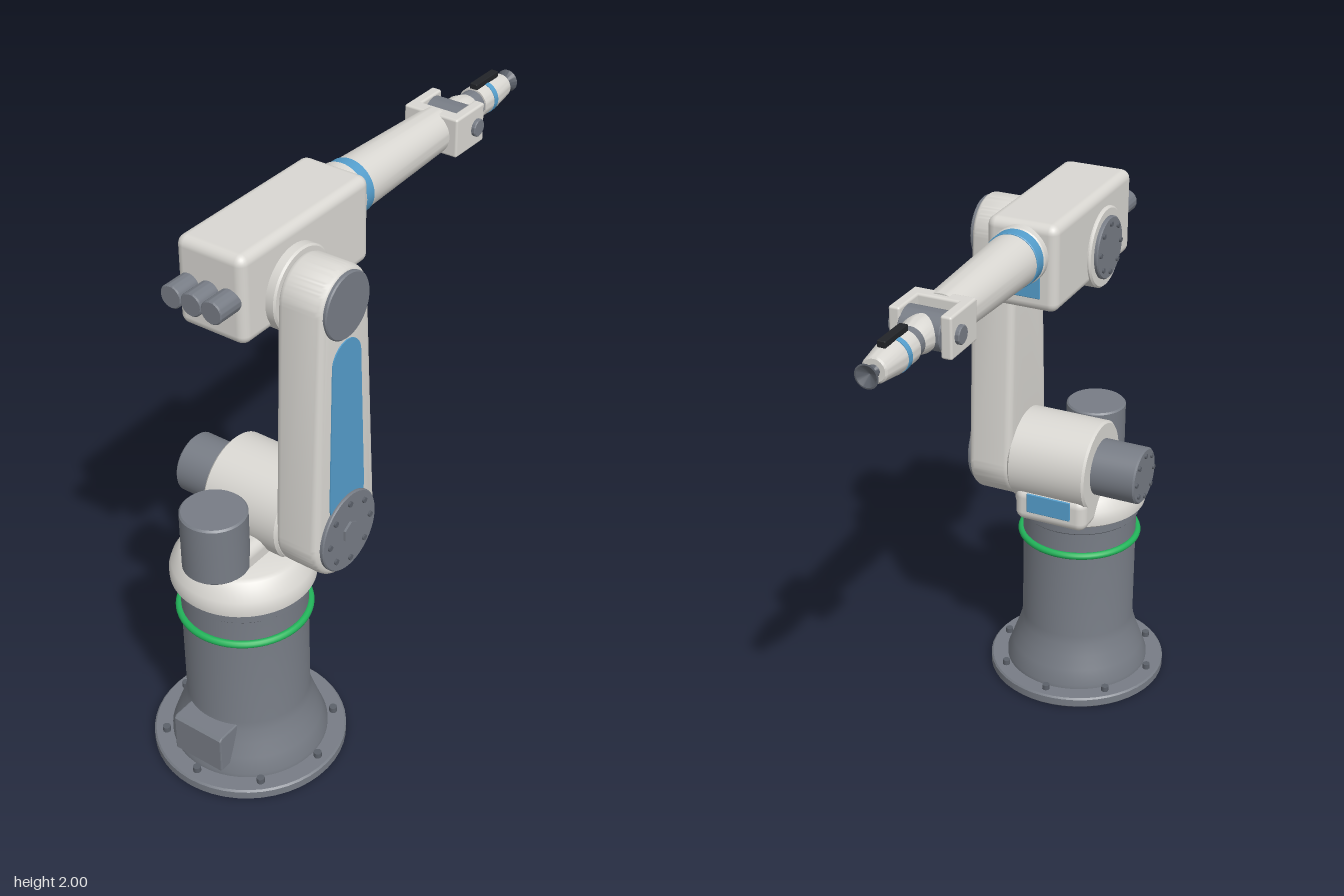
import * as THREE from 'three';
import { toCreasedNormals } from 'three/addons/utils/BufferGeometryUtils.js';
import { RoundedBoxGeometry } from 'three/addons/geometries/RoundedBoxGeometry.js';

const material = (name, color) => new THREE.MeshStandardMaterial({ name, color });

export function createModel() {
  const shell = material('light shell', 0xd9d7d2);
  const steel = material('grey steel', 0x777c85);
  const bolt = material('dark bolt', 0x5c616a);
  const blue = material('blue accent', 0x549dcb);
  const green = material('green ring', 0x22b45a);
  const black = material('black rail', 0x222428);

  const robot = new THREE.Group();
  robot.name = 'robotArm';

  const add = (name, geometry, mat, x = 0, y = 0, z = 0) => {
    const mesh = new THREE.Mesh(geometry, mat);
    mesh.name = name;
    mesh.position.set(x, y, z);
    robot.add(mesh);
    return mesh;
  };
  const box = (name, mat, [x0, x1], [y0, y1], [z0, z1], r = 0.01) =>
    add(name, new RoundedBoxGeometry(x1 - x0, y1 - y0, z1 - z0, 3, r), mat,
      (x0 + x1) / 2, (y0 + y1) / 2, (z0 + z1) / 2);
  // Turned solid from [radius, distance] pairs along the x, y or z axis
  const turned = (name, mat, axis, points, x, y, z, sides = 48) => {
    const raw = new THREE.LatheGeometry(points.map(p => new THREE.Vector2(...p)), sides);
    const geometry = toCreasedNormals(raw, 0.6);
    if (axis === 'x') geometry.rotateZ(-Math.PI / 2);
    if (axis === 'z') geometry.rotateX(Math.PI / 2);
    return add(name, geometry, mat, x, y, z);
  };
  // Cylinder with small chamfers, running from a to b along its axis
  const drum = (name, mat, axis, r, a, b, x, y, z, c = 0.006) =>
    turned(name, mat, axis, [[0, a], [r - c, a], [r, a + c], [r, b - c], [r - c, b], [0, b]], x, y, z);
  // Ring of bolts around an axis
  const bolts = (name, axis, count, ring, r, a, b, x, y, z) => {
    for (let i = 0; i < count; i++) {
      const t = (i / count) * Math.PI * 2;
      const u = Math.cos(t) * ring, v = Math.sin(t) * ring;
      const geometry = new THREE.CylinderGeometry(r, r, b - a, 10);
      if (axis === 'z') geometry.rotateX(Math.PI / 2);
      const m = (a + b) / 2;
      if (axis === 'y') add(name, geometry, bolt, x + u, y + m, z + v);
      else add(name, geometry, bolt, x + u, y + v, z + m);
    }
  };
  // Tapered plate with round ends
  const taperedPlate = (x, y0, r0, y1, r1, depth, bevel) => {
    const tilt = Math.asin((r0 - r1) / (y1 - y0));
    const shape = new THREE.Shape();
    shape.absarc(x, y1, r1, tilt, Math.PI - tilt, false);
    shape.absarc(x, y0, r0, Math.PI - tilt, Math.PI * 2 + tilt, false);
    const geometry = new THREE.ExtrudeGeometry(shape, {
      depth: depth - 2 * bevel, bevelEnabled: bevel > 0, bevelThickness: bevel,
      bevelSize: bevel, bevelOffset: -bevel, bevelSegments: 4, curveSegments: 32,
    });
    geometry.translate(0, 0, bevel);
    return toCreasedNormals(geometry, 0.6);
  };

  // Pedestal
  const bx = -0.6;
  drum('baseFlange', steel, 'y', 0.335, 0, 0.04, bx, 0, 0);
  bolts('flangeBolt', 'y', 8, 0.293, 0.014, 0.04, 0.06, bx, 0, 0);
  turned('column', steel, 'y', [[0, 0.035], [0.27, 0.035], [0.27, 0.055], [0.25, 0.11], [0.232, 0.16],
    [0.218, 0.205], [0.212, 0.24], [0.212, 0.69], [0, 0.69]], bx, 0, 0, 64);
  drum('columnCollar', steel, 'y', 0.222, 0.69, 0.735, bx, 0, 0);
  const ring = add('statusRing', new THREE.TorusGeometry(0.218, 0.013, 12, 64), green, bx, 0.6, 0);
  ring.rotation.x = Math.PI / 2;

  // Connector box on the rear of the pedestal, with a sloped underside
  const profile = new THREE.Shape([[-0.88, 0.085], [-0.74, 0.085], [-0.74, 0.23], [-0.87, 0.23], [-0.88, 0.22]]
    .map(p => new THREE.Vector2(...p)));
  add('connectorBox', new THREE.ExtrudeGeometry(profile, { depth: 0.19, bevelThickness: 0.005, bevelSize: 0.004,
    bevelOffset: -0.004, bevelSegments: 2 }), steel, 0, 0, -0.095);

  // Rotating carousel and its vertical motor
  turned('carousel', shell, 'y', [[0, 0.73], [0.23, 0.73], [0.243, 0.74], [0.244, 0.765], [0.236, 0.79],
    [0.215, 0.825], [0.2, 0.843], [0.185, 0.85], [0, 0.85]], bx, 0, 0, 64);
  box('carouselDeck', shell, [-0.76, -0.4], [0.8, 0.915], [-0.1, 0.1], 0.035);
  box('carouselNose', shell, [-0.56, -0.31], [0.75, 0.88], [-0.14, 0.14], 0.035);
  box('nosePanel', blue, [-0.314, -0.306], [0.795, 0.87], [-0.085, 0.085], 0.003);
  drum('turnMotor', steel, 'y', 0.11, 0.85, 1.07, -0.735, 0, 0);

  // Shoulder
  const ax = -0.46, shoulderY = 0.96, elbowY = 1.8;
  drum('shoulderHousing', shell, 'z', 0.168, -0.14, 0.16, ax, shoulderY, 0, 0.008);
  drum('shoulderMotor', steel, 'z', 0.104, -0.307, -0.13, ax, shoulderY, 0);
  bolts('motorBolt', 'z', 8, 0.08, 0.009, -0.314, -0.3, ax, shoulderY, 0);

  // Lower arm with inlay and joint caps
  add('lowerArm', taperedPlate(ax, shoulderY, 0.162, elbowY, 0.123, 0.165, 0.025), shell, 0, 0, 0.15);
  add('armInlay', taperedPlate(ax, 1.1, 0.09, 1.608, 0.072, 0.008, 0), blue, 0, 0, 0.311);
  drum('shoulderCap', steel, 'z', 0.142, 0.3, 0.328, ax, shoulderY, 0, 0.004);
  bolts('shoulderCapBolt', 'z', 8, 0.108, 0.01, 0.32, 0.335, ax, shoulderY, 0);
  turned('shoulderHub', steel, 'z', [[0, 0.32], [0.038, 0.32], [0.038, 0.336], [0, 0.336]], ax, shoulderY, 0, 6);
  drum('elbowCap', steel, 'z', 0.11, 0.3, 0.324, ax, elbowY, 0, 0.004);

  // Elbow and forearm housing
  drum('elbowBarrel', shell, 'z', 0.14, -0.137, 0.16, ax, elbowY, 0);
  drum('elbowRearCap', steel, 'z', 0.108, -0.15, -0.13, ax, elbowY, 0, 0.004);
  bolts('elbowBolt', 'z', 8, 0.085, 0.009, -0.157, -0.145, ax, elbowY, 0);
  box('forearmHousing', shell, [-0.7, -0.07], [1.7, 2], [-0.126, 0.126], 0.032);
  box('housingPanel', blue, [-0.074, -0.066], [1.748, 1.85], [-0.07, 0.07], 0.003);
  for (const z of [-0.075, 0, 0.075]) drum('wristMotor', steel, 'x', 0.039, -0.785, -0.68, 0, 1.85, z, 0.004);

  // Forearm tube
  const y = 1.893;
  drum('forearmCollar', shell, 'x', 0.098, -0.08, -0.043, 0, y, 0, 0.004);
  drum('forearmBand', blue, 'x', 0.094, -0.045, 0, 0, y, 0, 0.002);
  turned('forearmTube', shell, 'x', [[0, -0.01], [0.09, -0.01], [0.09, 0.02], [0.075, 0.48], [0, 0.48]], 0, y, 0);

  // Wrist fork
  box('forkBack', shell, [0.45, 0.5], [1.826, 1.963], [-0.1, 0.1], 0.008);
  for (const s of [-1, 1]) {
    box('forkCheek', shell, [0.45, 0.617], [1.826, 1.963], s < 0 ? [-0.104, -0.066] : [0.066, 0.104], 0.008);
    drum('forkPin', steel, 'z', 0.03, s * 0.107 - 0.011, s * 0.107 + 0.011, 0.568, y, 0, 0.003);
  }
  drum('wristKnuckle', steel, 'z', 0.062, -0.07, 0.07, 0.568, y, 0, 0.003);

  // Tool head
  turned('wristCone', shell, 'x', [[0, 0.58], [0.056, 0.58], [0.058, 0.63], [0.046, 0.675], [0, 0.675]], 0, y, 0);
  drum('toolCollar', steel, 'x', 0.048, 0.67, 0.715, 0, y, 0, 0.003);
  turned('toolBody', shell, 'x', [[0, 0.71], [0.054, 0.71], [0.054, 0.8], [0.042, 0.885], [0.036, 0.89], [0, 0.89]], 0, y, 0);
  turned('toolBand', blue, 'x', [[0, 0.763], [0.056, 0.763], [0.056, 0.784], [0, 0.784]], 0, y, 0);
  box('toolRail', black, [0.71, 0.845], [1.943, 1.965], [-0.014, 0.014], 0.003);
  turned('suctionCup', bolt, 'x', [[0, 0.88], [0.022, 0.885], [0.012, 0.902], [0.039, 0.933], [0.034, 0.934], [0, 0.912]], 0, y, 0);

  return robot;
}
